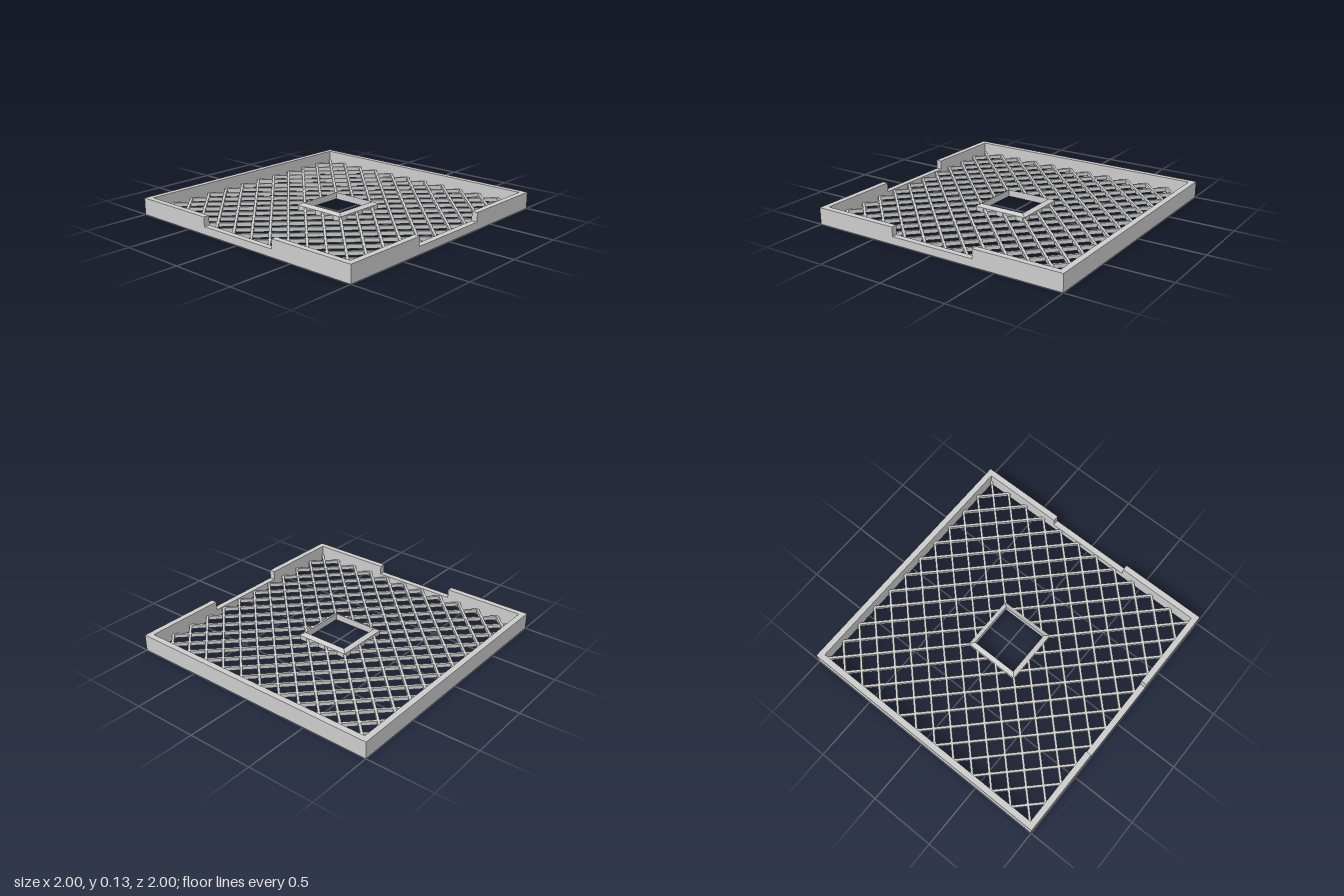
import * as THREE from 'three';

const material = new THREE.MeshStandardMaterial({ color: 0xcccccc, flatShading: true });

const OUTER = 1, INNER = 0.955;        // half sizes of the rim
const HEIGHT = 0.127, LEDGE = 0.057;   // rim height, height of the notch floor
const NOTCH = 0.33;                    // half width of the notches
const BAR_LOW = 0.022, BAR_TOP = 0.05, BAR_WIDTH = 0.018;
const STEP = 0.1732;                   // lattice pitch measured along x
const CUT = 0.198;                     // half size of the gap left for the central frame

// Extrudes a plan drawn in (x, z) from y0 to y1; a hole runs opposite to the outline.
function slab(name, points, y0, y1, hole) {
  const toVectors = (list) => list.map(([x, z]) => new THREE.Vector2(x, -z));
  const shape = new THREE.Shape(toVectors(points));
  if (hole) shape.holes.push(new THREE.Path(toVectors(hole).reverse()));
  const geometry = new THREE.ExtrudeGeometry(shape, { depth: y1 - y0, bevelEnabled: false });
  geometry.rotateX(-Math.PI / 2).translate(0, y0, 0);
  const mesh = new THREE.Mesh(geometry, material);
  mesh.name = name;
  return mesh;
}

const square = (s) => [[-s, -s], [s, -s], [s, s], [-s, s]];

function createRim() {
  const rim = new THREE.Group();
  rim.name = 'rim';
  rim.add(slab('lowerRim', square(OUTER), 0, LEDGE, square(INNER)));
  // Upper wall, interrupted by notches in the front and left sides
  rim.add(slab('upperWall', [
    [OUTER, -NOTCH], [OUTER, -OUTER], [-OUTER, -OUTER], [-OUTER, OUTER], [-NOTCH, OUTER],
    [-NOTCH, INNER], [-INNER, INNER], [-INNER, -INNER], [INNER, -INNER], [INNER, -NOTCH],
  ], LEDGE, HEIGHT));
  rim.add(slab('cornerWall', [
    [NOTCH, OUTER], [OUTER, OUTER], [OUTER, NOTCH], [INNER, NOTCH], [INNER, INNER], [NOTCH, INNER],
  ], LEDGE, HEIGHT));
  return rim;
}

function createLattice() {
  const lattice = new THREE.Group();
  lattice.name = 'lattice';
  const reach = INNER + 0.01;

  // Diagonal bar on the line z = side * (x - c), between two x positions
  const addBar = (side, c, x0, x1) => {
    const length = (x1 - x0) * Math.SQRT2;
    const bar = new THREE.Mesh(new THREE.BoxGeometry(length, BAR_TOP - BAR_LOW, BAR_WIDTH), material);
    const x = (x0 + x1) / 2;
    bar.position.set(x, (BAR_LOW + BAR_TOP) / 2, side * (x - c));
    bar.rotation.y = -side * Math.PI / 4;
    bar.name = 'latticeBar';
    lattice.add(bar);
  };

  for (const side of [-1, 1]) {
    for (let i = -10; i <= 10; i++) {
      const c = i * STEP;
      const start = Math.max(-reach, c - reach), end = Math.min(reach, c + reach);
      if (Math.abs(c) < 2 * CUT) {
        // Stop at the central frame on both sides
        addBar(side, c, start, Math.max(-CUT, c - CUT));
        addBar(side, c, Math.min(CUT, c + CUT), end);
      } else {
        addBar(side, c, start, end);
      }
    }
  }
  return lattice;
}

// Square frame with an outward slope on top, swept around four corners
function createCentralFrame() {
  const profile = [[0.18, 0.02], [0.214, 0.02], [0.214, 0.055], [0.18, 0.072], [0.18, 0.02]];
  const points = profile.map(([r, y]) => new THREE.Vector2(r * Math.SQRT2, y));
  const geometry = new THREE.LatheGeometry(points, 4).rotateY(Math.PI / 4).toNonIndexed();
  geometry.computeVertexNormals();
  const frame = new THREE.Mesh(geometry, material);
  frame.name = 'centralFrame';
  return frame;
}

export function createModel() {
  const model = new THREE.Group();
  model.name = 'latticeTray';
  model.add(createRim(), createLattice(), createCentralFrame());
  return model;
}
